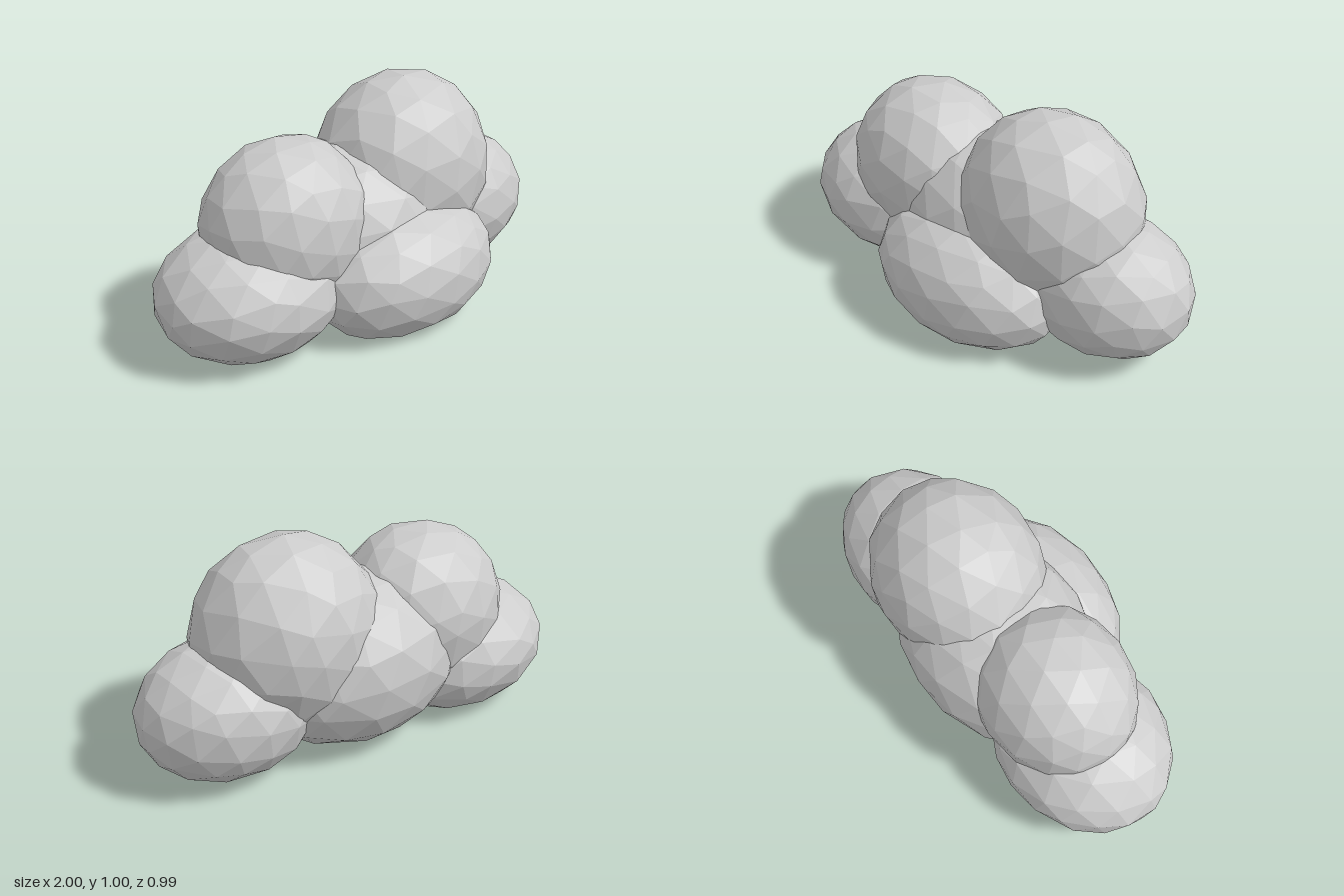
import * as THREE from 'three';
import { mergeVertices } from 'three/addons/utils/BufferGeometryUtils.js';

// Small seeded generator for the slightly uneven facets
function seeded(seed) {
  let s = seed * 7919 + 17;
  return () => {
    s = (s * 16807) % 2147483647;
    return s / 2147483647;
  };
}

// A faceted puff that fills the given min/max box, flattened where it meets the ground
function puffGeometry(min, max, seed) {
  const rand = seeded(seed);
  let geo = new THREE.IcosahedronGeometry(1, 2);
  geo.deleteAttribute('normal');
  geo.deleteAttribute('uv');
  geo = mergeVertices(geo, 1e-4);
  geo.rotateX(rand() * 3).rotateY(rand() * 3).rotateZ(rand() * 3);

  const pos = geo.attributes.position;
  const v = new THREE.Vector3();
  for (let i = 0; i < pos.count; i++) {
    v.fromBufferAttribute(pos, i);
    v.x += (rand() - 0.5) * 0.1;
    v.y += (rand() - 0.5) * 0.1;
    v.z += (rand() - 0.5) * 0.1;
    v.normalize();
    pos.setXYZ(i, v.x, v.y, v.z);
  }

  // Fit to the box, then press the underside flat
  geo.computeBoundingBox();
  const box = geo.boundingBox;
  const fit = (value, axis, k) =>
    THREE.MathUtils.mapLinear(value, box.min[axis], box.max[axis], min[k], max[k]);
  for (let i = 0; i < pos.count; i++) {
    pos.setXYZ(i,
      fit(pos.getX(i), 'x', 0),
      Math.max(0, fit(pos.getY(i), 'y', 1)),
      fit(pos.getZ(i), 'z', 2));
  }
  geo.computeVertexNormals();
  return geo;
}

export function createModel() {
  const cloud = new THREE.Group();
  cloud.name = 'cloud';
  const cloudGrey = new THREE.MeshStandardMaterial({ color: 0xcccccc, flatShading: true });
  cloudGrey.name = 'cloudGrey';

  // Each puff: name, low corner, high corner
  const puffs = [
    ['rightPuff', [-1, -0.03, -0.445], [-0.12, 0.545, 0.29]],
    ['leftPuff', [0.2, -0.01, -0.415], [1, 0.61, 0.24]],
    ['frontPuff', [-0.4, -0.065, -0.15], [0.545, 0.52, 0.495]],
    ['corePuff', [-0.5, -0.015, -0.495], [0.52, 0.765, 0.3]],
    ['upperRightPuff', [-0.745, 0.12, -0.42], [0.02, 0.87, 0.265]],
    ['upperLeftPuff', [-0.115, 0.12, -0.45], [0.725, 0.995, 0.295]],
  ];
  puffs.forEach(([name, min, max], i) => {
    const mesh = new THREE.Mesh(puffGeometry(min, max, i + 3), cloudGrey);
    mesh.name = name;
    cloud.add(mesh);
  });
  return cloud;
}
